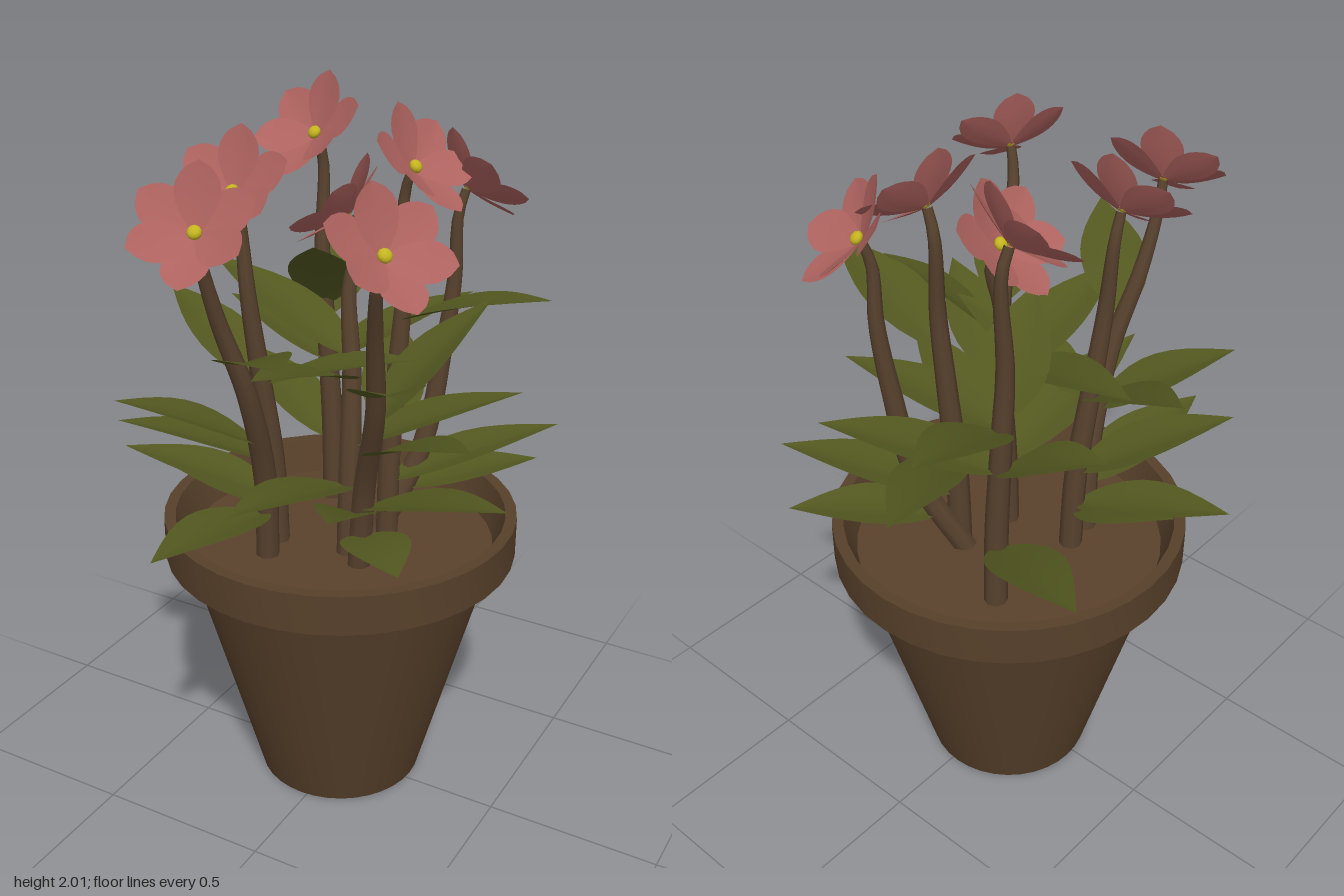
import * as THREE from 'three';
import { toCreasedNormals } from 'three/addons/utils/BufferGeometryUtils.js';

const mat = (name, color, side = THREE.FrontSide) => {
  const m = new THREE.MeshStandardMaterial({ color, side });
  m.name = name;
  return m;
};
const V = (x, y, z) => new THREE.Vector3(x, y, z);

// Flower centres, stem bases (x, z), facing direction (x, z),
// sideways bend of the stem, and how far it has leaned over at three heights
const LEAN = [0.1, 0.45, 0.72];
const FLOWERS = [
  { base: [-0.17, -0.25], at: [-0.22, 1.84, -0.25], face: [-0.3, 1], bend: 0, lean: LEAN },
  { base: [0.05, -0.13], at: [0.205, 1.73, -0.31], face: [0.55, -0.8], bend: 0, lean: [0.55, 0.78, 0.9] },
  { base: [0.08, -0.12], at: [0.11, 1.8, -0.175], face: [1, 0.1], bend: 0, lean: LEAN },
  { base: [0.04, 0.04], at: [-0.01, 1.69, -0.055], face: [-1, 0.1], bend: 0.01, lean: LEAN },
  { base: [-0.17, 0.07], at: [-0.22, 1.77, 0.165], face: [0.05, 1], bend: 0, lean: LEAN },
  { base: [-0.15, 0.16], at: [-0.155, 1.74, 0.43], face: [0.3, 1], bend: 0.03, lean: LEAN },
  { base: [0.1, 0.085], at: [0.3, 1.73, 0.35], face: [0.85, 0.5], bend: 0.02, lean: LEAN },
];

// Leaves: stem index, tip x, y, z, rise from stem to tip
const LEAVES = [
  [0, -0.3, 1.49, -0.665, 0.17], [2, -0.15, 1.21, -0.61, 0.16], [0, 0.13, 1.36, -0.56, 0.17],
  [1, 0.39, 0.91, -0.48, 0.05], [2, 0.47, 1.06, -0.42, 0.14], [2, 0.55, 1.54, -0.09, 0.15],
  [6, 0.4, 1.53, -0.06, 0.3], [4, 0.27, 1.39, 0.09, 0.16], [6, 0.59, 1.1, 0.23, 0.16],
  [6, 0.54, 1.3, 0.355, 0.17], [6, 0.45, 1.48, 0.53, 0.17], [5, 0.18, 1.52, 0.61, 0.15],
  [3, 0.03, 1.12, 0.61, 0.17], [5, -0.175, 0.96, 0.66, 0.06], [5, -0.39, 1.29, 0.49, 0.17],
  [4, -0.48, 1.17, 0.37, 0.17], [4, -0.6, 1.0, 0.2, 0.11], [4, -0.56, 1.43, -0.01, 0.19],
  [3, -0.5, 1.49, -0.14, 0.17], [0, -0.6, 1.1, -0.45, 0.16], [4, -0.46, 0.94, 0.15, 0.07],
  [0, -0.5, 1.35, -0.22, 0.17], [3, 0.02, 1.42, 0.48, 0.17], [3, 0.45, 1.24, -0.18, 0.18],
  [0, -0.1, 1.6, -0.02, 0.25], [6, 0.33, 0.88, 0.3, 0.03], [6, 0.22, 1.08, 0.46, 0.16],
];

// Folded, arched blade running along +z; profile(v) gives its width
function blade(length, profile, fold, rise, arch) {
  const g = new THREE.PlaneGeometry(1, 1, 4, 10);
  const p = g.attributes.position;
  for (let i = 0; i < p.count; i++) {
    const v = p.getY(i) + 0.5;
    const x = -p.getX(i) * profile(v);
    p.setXYZ(i, x, fold * Math.abs(x) + rise * v + arch * Math.sin(Math.PI * v), length * v);
  }
  g.computeVertexNormals();
  return g;
}

export function createModel() {
  const model = new THREE.Group();
  model.name = 'pottedFlowers';
  const clay = mat('clay', 0x57402a);
  const soil = mat('soil', 0x5a422c);
  const stemBrown = mat('stemBrown', 0x58422e);
  const leafGreen = mat('leafGreen', 0x535820, THREE.DoubleSide);
  const petalPink = mat('petalPink', 0xad625e, THREE.DoubleSide);
  const yellow = mat('yellow', 0xc4b420);

  const add = (parent, name, geometry, material) => {
    const m = new THREE.Mesh(geometry, material);
    m.name = name;
    parent.add(m);
    return m;
  };
  const lathe = (pts) => toCreasedNormals(
    new THREE.LatheGeometry(pts.map(([r, y]) => new THREE.Vector2(r, y)), 36), 0.6);

  // Pot: tapered body, overhanging rim with a sloped inside, and soil
  const pot = new THREE.Group();
  pot.name = 'pot';
  pot.position.set(-0.02, 0, -0.025);
  model.add(pot);
  add(pot, 'potBody', lathe([[0, 0], [0.24, 0], [0.44, 0.735], [0.453, 0.79]]), clay);
  add(pot, 'potRim', lathe([[0.453, 0.79], [0.465, 0.735], [0.5, 0.735], [0.5, 0.85],
    [0.468, 0.85], [0.435, 0.75]]), clay);
  add(pot, 'soil', lathe([[0.436, 0.752], [0, 0.752]]), soil);

  const petal = blade(0.163, (v) => 0.112 * Math.pow(Math.max(0, Math.sin(Math.PI * Math.pow(v, 1.35))), 0.7) + 0.014 * (1 - v),
    0.1, 0.065, -0.004);
  const tilt = 0.84;

  // Stems, each carrying a tilted six-petal flower
  const curves = FLOWERS.map(({ base: [bx, bz], at, face, bend, lean }) => {
    const top = V(...at);
    const f = V(face[0], 0, face[1]).normalize();
    const normal = f.clone().multiplyScalar(Math.sin(tilt)).setY(Math.cos(tilt));
    const between = (t, y, side) => V(bx + (top.x - bx) * t + side, y, bz + (top.z - bz) * t);
    const curve = new THREE.CatmullRomCurve3([
      V(bx, 0.74, bz), between(lean[0], 1.0, bend / 2), between(lean[1], 1.28, bend), between(lean[2], 1.5, 0),
      top.clone().addScaledVector(normal, -0.03).setY(top.y - 0.07), top,
    ]);

    // Tube narrowed towards the flower
    const rings = 24, sides = 8;
    const tube = new THREE.TubeGeometry(curve, rings, 0.033, sides);
    const p = tube.attributes.position;
    for (let i = 0; i < p.count; i++) {
      const t = Math.floor(i / (sides + 1)) / rings;
      const c = curve.getPointAt(t);
      const q = V(p.getX(i), p.getY(i), p.getZ(i)).sub(c).multiplyScalar(1 - 0.6 * t * t).add(c);
      p.setXYZ(i, q.x, q.y, q.z);
    }
    add(model, 'stem', tube, stemBrown);

    // Petals alternate between an inner raised set and an outer open set
    const flower = new THREE.Group();
    flower.name = 'flower';
    flower.position.copy(top);
    flower.quaternion.setFromUnitVectors(V(0, 1, 0), normal);
    for (let k = 0; k < 6; k++) {
      const onePetal = add(flower, 'petal', petal, petalPink);
      onePetal.rotation.set(k % 2 ? -0.07 : 0.07, Math.atan2(f.x, f.z) + (k * Math.PI) / 3, 0, 'YXZ');
    }
    const centre = add(flower, 'flowerCentre', new THREE.SphereGeometry(0.019, 10, 8), yellow);
    centre.position.y = 0.014;
    centre.scale.y = 0.75;
    model.add(flower);
    return curve;
  });

  // Leaves growing from the stems at the right height
  const leafProfile = (v) => 0.18 * Math.max(0, Math.sin(Math.PI * Math.pow(v, 0.8))) + 0.012 * (1 - v);
  for (const [stem, x, y, z, rise] of LEAVES) {
    const tip = V(x, y, z);
    const start = curves[stem].getPoints(60).reduce((a, b) =>
      Math.abs(b.y - (y - rise)) < Math.abs(a.y - (y - rise)) ? b : a);
    const leaf = add(model, 'leaf', blade(start.distanceTo(tip), leafProfile, 0.2, 0, 0.012), leafGreen);
    leaf.position.copy(start);
    leaf.lookAt(tip);
  }
  return model;
}
